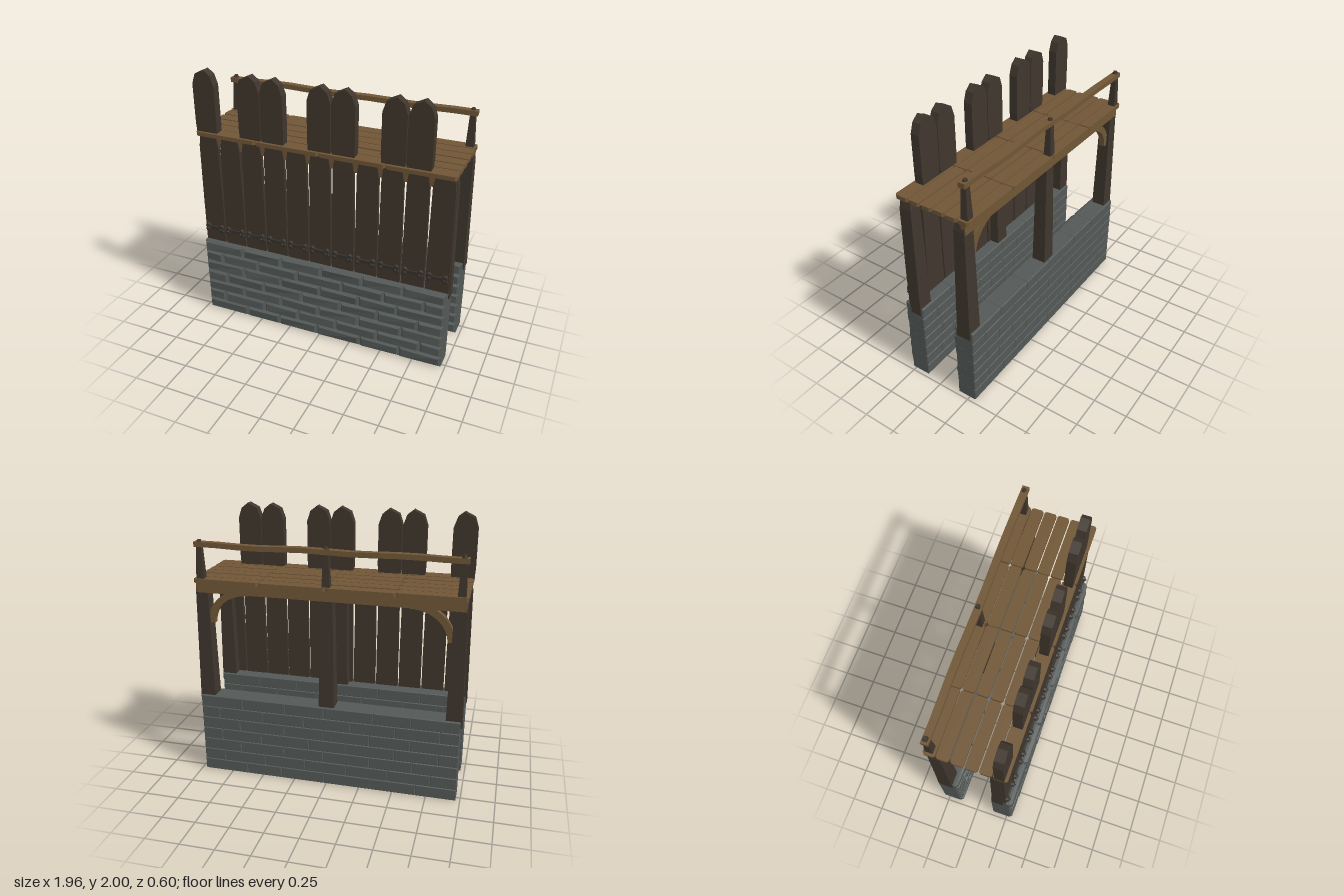
import * as THREE from 'three';

const mat = (name, color) => {
  const m = new THREE.MeshStandardMaterial({ color, flatShading: true });
  m.name = name;
  return m;
};

export function createModel() {
  const root = new THREE.Group();
  root.name = 'palisadeWalkway';
  const darkWood = mat('darkWood', 0x3f362d);
  const wood = mat('wood', 0x705636);
  const stone = mat('stone', 0x535957);
  const iron = mat('iron', 0x37322d);

  let seed = 7;
  const rnd = () => (seed = (seed * 16807) % 2147483647) / 2147483647;
  const vary = (a) => (rnd() - 0.5) * 2 * a;

  const group = (name) => {
    const g = new THREE.Group();
    g.name = name;
    root.add(g);
    return g;
  };
  const add = (parent, name, geo, material, x = 0, y = 0, z = 0) => {
    const m = new THREE.Mesh(geo, material);
    m.name = name;
    m.position.set(x, y, z);
    parent.add(m);
    return m;
  };
  // Flat outline pulled to a depth, centred on z = 0
  const plate = (points, depth) => {
    const s = new THREE.Shape(points.map(([x, y]) => new THREE.Vector2(x, y)));
    return new THREE.ExtrudeGeometry(s, { depth, bevelEnabled: false }).translate(0, 0, -depth / 2);
  };
  // Rectangle with cut corners
  const cutRect = (w, h, c) => {
    const a = w / 2, b = h / 2;
    return [[-a + c, -b], [a - c, -b], [a, -b + c], [a, b - c], [a - c, b], [-a + c, b], [-a, b - c], [-a, -b + c]];
  };
  // Post standing on y = 0 with a narrower top
  const taperedPost = (w, d, h, top, sides = 1) => {
    const g = new THREE.BoxGeometry(w, h, d, 1, sides, 1).translate(0, h / 2, 0);
    const p = g.attributes.position;
    for (let i = 0; i < p.count; i++) {
      const k = 1 + (top - 1) * (p.getY(i) / h);
      p.setX(i, p.getX(i) * k);
      p.setZ(i, p.getZ(i) * k);
    }
    g.computeVertexNormals();
    return g;
  };
  // Block whose +z face is smaller and uneven, with a small back chamfer
  const brick = (w, h, d) => {
    const g = new THREE.BoxGeometry(w, h, d, 1, 1, 3);
    const p = g.attributes.position;
    const offsets = [0, 1, 2, 3].map(() => -0.004 - rnd() * 0.012);
    for (let i = 0; i < p.count; i++) {
      const x = p.getX(i), y = p.getY(i), z = p.getZ(i);
      if (z > d / 2 - 0.001) {
        const o = offsets[(x > 0 ? 1 : 0) + (y > 0 ? 2 : 0)];
        p.setXYZ(i, x - Math.sign(x) * 0.018, y - Math.sign(y) * 0.014, z + o + 0.004);
      } else if (z > 0) {
        p.setZ(i, d / 2 - 0.028);
      } else if (z > -d / 2 + 0.001) {
        p.setZ(i, -d / 2 + 0.006);
      } else {
        p.setXYZ(i, x - Math.sign(x) * 0.005, y - Math.sign(y) * 0.005, z);
      }
    }
    return g;
  };

  // Two stone walls in running bond
  const courses = 7, courseH = 0.09, half = 0.97, pitch = 0.3233;
  for (const [name, zc] of [['frontWall', 0.217], ['backWall', -0.213]]) {
    const wall = group(name);
    add(wall, 'wallCore', new THREE.BoxGeometry(1.925, 0.62, 0.125), stone, 0, 0.313, zc - 0.013);
    for (let r = 0; r < courses; r++) {
      const joints = [-half];
      for (let i = 0; i <= 6; i++) {
        const x = -half + pitch * (i + (r % 2 ? 0.5 : 0)) + vary(0.03);
        if (x > -half + 0.08 && x < half - 0.08) joints.push(x);
      }
      joints.push(half);
      for (let i = 0; i + 1 < joints.length; i++) {
        const w = joints[i + 1] - joints[i];
        add(wall, 'brick', brick(w - 0.002, courseH - 0.001, 0.172), stone,
          joints[i] + w / 2, (r + 0.5) * courseH, zc);
      }
    }
  }

  // Supporting posts on both walls
  const posts = group('posts');
  for (const x of [-0.92, 0, 0.92]) {
    add(posts, 'frontPost', taperedPost(0.115, 0.085, 0.87, 0.78), darkWood, x, 0.575, 0.188);
    add(posts, 'frontPostCap', taperedPost(0.09, 0.066, 0.06, 0.7), darkWood, x, 1.445, 0.188);
    add(posts, 'backPost', taperedPost(0.115, 0.108, 0.87, 0.78), darkWood, x, 0.575, -0.228);
    add(posts, 'backPostCap', taperedPost(0.09, 0.084, 0.06, 0.75), darkWood, x, 1.445, -0.228);
  }

  // Front palisade planks, each with an iron strap
  const palisade = group('palisade');
  const plankShape = [[-0.083, 0.55], [0.083, 0.55], [0.084, 0.9], [0.078, 1.42], [0.064, 1.507],
    [-0.064, 1.507], [-0.077, 1.42], [-0.082, 0.95]];
  const merlonShape = [[-0.082, 1.535], [0.082, 1.535], [0.086, 1.6], [0.085, 1.89], [0.06, 1.962],
    [0.012, 2.0], [-0.06, 1.965], [-0.085, 1.89], [-0.086, 1.6]];
  const plankGeo = plate(plankShape, 0.03);
  const merlonGeo = plate(merlonShape, 0.065);
  const knob = new THREE.CylinderGeometry(0.018, 0.022, 0.022, 8).rotateX(Math.PI / 2);
  for (let i = 0; i < 11; i++) {
    const x = -0.885 + i * 0.177;
    add(palisade, 'plank', plankGeo, darkWood, x, 0, 0.233 + vary(0.002));
    add(palisade, 'strap', new THREE.BoxGeometry(0.12, 0.028, 0.014), iron, x, 0.74, 0.254);
    for (const sx of [-1, 1]) {
      for (const sy of [-1, 1]) {
        add(palisade, 'strapKnob', knob, iron, x + sx * 0.058, 0.74 + sy * 0.014, 0.258);
      }
      add(palisade, 'strapStud', new THREE.CylinderGeometry(0.007, 0.01, 0.014, 6).rotateX(Math.PI / 2),
        iron, x + sx * 0.055, 0.74, 0.274);
    }
    if ([0, 2, 3, 5, 6, 8, 9].includes(i)) add(palisade, 'merlon', merlonGeo, darkWood, x, 0, 0.222);
  }

  // Walkway boards: rows across z, four lengths along x
  const walkway = group('walkway');
  const rows = [[-0.30, -0.217], [-0.21, -0.122], [-0.112, -0.024], [-0.014, 0.072], [0.083, 0.167], [0.174, 0.275]];
  for (const [z0, z1] of rows) {
    for (let i = 0; i < 4; i++) {
      const board = plate(cutRect(0.478 + vary(0.002), z1 - z0, 0.012), 0.03).rotateX(-Math.PI / 2);
      add(walkway, 'board', board, wood, -0.7275 + i * 0.485, 1.52 + vary(0.002), (z0 + z1) / 2);
    }
  }

  // Long beams below the walkway
  const beams = group('beams');
  add(beams, 'frontBeam', new THREE.BoxGeometry(1.9, 0.085, 0.03), wood, 0, 1.4625, 0.222);
  add(beams, 'backBeam', new THREE.BoxGeometry(1.92, 0.075, 0.035), wood, 0, 1.4675, -0.258);

  // Curved braces at the back corners
  const arc = new THREE.Shape();
  arc.absellipse(0.58, 1.18, 0.31, 0.27, 0, Math.PI / 2, false);
  arc.lineTo(0.58, 1.4);
  arc.absellipse(0.58, 1.18, 0.26, 0.22, Math.PI / 2, 0, true);
  const braceGeo = new THREE.ExtrudeGeometry(arc, { depth: 0.045, bevelEnabled: false, curveSegments: 8 });
  add(beams, 'braceLeft', braceGeo, wood, 0, 0.02, -0.255);
  const mirrored = add(beams, 'braceRight', braceGeo, wood, 0, 0.02, -0.21);
  mirrored.rotation.y = Math.PI;

  // Rear railing
  const railing = group('railing');
  for (const x of [-0.92, 0, 0.92]) {
    add(railing, 'railPost', taperedPost(0.056, 0.054, 0.26, 0.62), darkWood, x, 1.535, -0.26);
    add(railing, 'railPostCap', new THREE.CylinderGeometry(0.014, 0.02, 0.022, 8), darkWood, x, 1.8, -0.26);
  }
  const railGeo = new THREE.BoxGeometry(1.91, 0.036, 0.05, 12, 1, 1);
  const rp = railGeo.attributes.position;
  for (let i = 0; i < rp.count; i++) {
    const x = rp.getX(i);
    rp.setY(i, rp.getY(i) + 0.004 * Math.sin(x * 9));
    rp.setZ(i, rp.getZ(i) + 0.003 * Math.sin(x * 7 + 1));
  }
  add(railing, 'rail', railGeo, wood, 0, 1.777, -0.26);

  return root;
}
